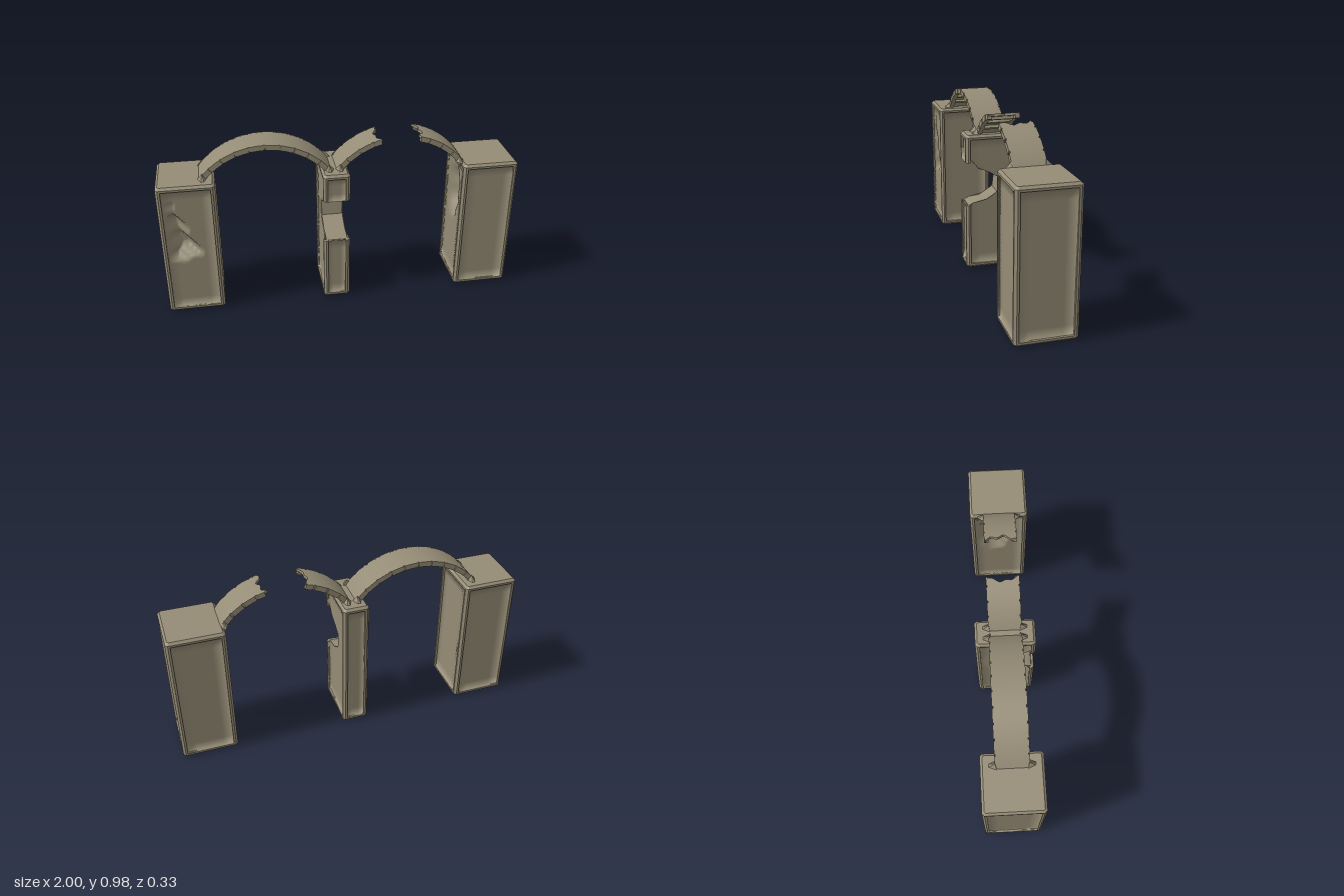
import * as THREE from 'three';
import { ConvexGeometry } from 'three/addons/geometries/ConvexGeometry.js';
import { toCreasedNormals } from 'three/addons/utils/BufferGeometryUtils.js';

const stone = new THREE.MeshStandardMaterial({ color: 0x958c76, side: THREE.DoubleSide });
const H = 0.8, D = 0.33, EDGE = 0.025, BEVEL = 0.013, RECESS = 0.013;
const PH = H - 2 * EDGE;
const { clamp, lerp } = THREE.MathUtils;
const V = (x, y, z) => new THREE.Vector3(x, y, z);

function add(parent, name, geometry) {
  const mesh = new THREE.Mesh(geometry, stone);
  mesh.name = name;
  parent.add(mesh);
  return mesh;
}
const hull = (points) => new ConvexGeometry(points);

// Rectangle with cut corners, as a ring of points at height y
function ring(w, d, y, c) {
  const pts = [];
  for (const sx of [-1, 1]) for (const sz of [-1, 1]) {
    pts.push(V(sx * (w / 2 - c), y, sz * d / 2), V(sx * w / 2, y, sz * (d / 2 - c)));
  }
  return pts;
}

// Recessed panel facing +z; a dent pushes it in, a warp moves its outline
function panelGeometry(w, h, { dent = null, warp = null, nx = 1, ny = 1 } = {}) {
  const stops = (size, n) => {
    const inset = Math.min(0.055, size * 0.3), a = size / 2, out = [-a, -a];
    for (let i = 0; i <= n; i++) out.push(lerp(-a + inset, a - inset, i / n));
    return [...out, a, a];
  };
  const xs = stops(w, nx), ys = stops(h, ny), pos = [], index = [];
  const nX = xs.length, nY = ys.length;
  ys.forEach((y, j) => xs.forEach((x, i) => {
    const px = warp ? warp(x, y) : x;
    const rim = i === 0 || j === 0 || i === nX - 1 || j === nY - 1;
    const cut = Math.abs(px - x) > 1e-4;
    pos.push(px, y, rim && !cut ? 0 : -RECESS - (dent ? dent(x, y) : 0));
    if (i && j) {
      const a = (j - 1) * nX + i - 1, b = a + 1, c = a + nX, d = c + 1;
      index.push(a, b, d, a, d, c);
    }
  }));
  const g = new THREE.BufferGeometry();
  g.setAttribute('position', new THREE.Float32BufferAttribute(pos, 3));
  g.setIndex(index);
  g.computeVertexNormals();
  // Soft shading that turns inward along the border
  const tilt = (k, n) => (k < 2 ? 1 : k > n - 3 ? -1 : 0);
  for (let j = 0; j < nY; j++) for (let i = 0; i < nX; i++) {
    const tx = tilt(i, nX), ty = tilt(j, nY);
    if (!tx && !ty) continue;
    const n = V(tx * 1.3, ty * 1.3, 1).normalize();
    g.attributes.normal.setXYZ(j * nX + i, n.x, n.y, n.z);
  }
  return g;
}

// Bevelled corner post between two heights
function post(parent, w, sx, sz, y0, y1) {
  const pts = [];
  for (const y of [y0, y1]) {
    for (const [a, b] of [[0, BEVEL], [BEVEL, 0], [EDGE, 0], [EDGE, EDGE], [0, EDGE]]) {
      pts.push(V(sx * (w / 2 - a), y, sz * (D / 2 - b)));
    }
  }
  add(parent, 'cornerPost', hull(pts));
}

function pillarFrame(name, x, w, frontPosts) {
  const p = new THREE.Group();
  p.name = name;
  p.position.x = x;
  for (const [part, inner, mid, outer] of [
    ['base', EDGE, BEVEL, 0], ['cap', H - EDGE, H - BEVEL, H]]) {
    add(p, part, hull([...ring(w, D, inner, BEVEL), ...ring(w, D, mid, BEVEL),
      ...ring(w - 2 * BEVEL, D - 2 * BEVEL, outer, BEVEL / 2)]));
  }
  for (const sx of [-1, 1]) {
    post(p, w, sx, -1, EDGE, H - EDGE);
    for (const [a, b] of frontPosts) post(p, w, sx, 1, a, b);
  }
  return p;
}

// Panels go on front, right (+x), back and left (-x) in turn
function addPanel(p, w, side, options = {}, y0 = EDGE, y1 = H - EDGE) {
  const across = side % 2 ? D : w, out = side % 2 ? w : D, a = side * Math.PI / 2;
  const m = add(p, 'recessedPanel', panelGeometry(across - 2 * EDGE, y1 - y0, options));
  m.rotation.y = a;
  m.position.set(Math.sin(a) * out / 2, (y0 + y1) / 2, Math.cos(a) * out / 2);
}

// Broken edge of the middle pillar, as [z, y]
const BITE = [[0.152, 0.385], [0.12, 0.40], [0.06, 0.405], [-0.02, 0.455],
  [-0.03, 0.54], [0.04, 0.585], [0.09, 0.60], [0.125, 0.645], [0.152, 0.67]];
function biteDepth(y) {
  for (let i = 1; i < BITE.length; i++) {
    const [z0, y0] = BITE[i - 1], [z1, y1] = BITE[i];
    if (y >= y0 && y <= y1) return lerp(z0, z1, (y - y0) / (y1 - y0));
  }
  return 1;
}

function brokenPillar() {
  const w = 0.15, p = pillarFrame('brokenMiddlePillar', -0.03, w, [[EDGE, 0.385], [0.64, H - EDGE]]);
  const shape = new THREE.Shape();
  const zb = D / 2 - RECESS - 0.002;
  shape.moveTo(-zb, 0.01);
  shape.lineTo(zb, 0.01);
  BITE.forEach(([z, y]) => shape.lineTo(Math.min(z, zb), y));
  shape.lineTo(zb, H - 0.01);
  shape.lineTo(-zb, H - 0.01);
  const thick = w - 2 * RECESS - 0.004;
  const core = new THREE.ExtrudeGeometry(shape, { depth: thick, bevelEnabled: false });
  core.translate(0, 0, -thick / 2).rotateY(-Math.PI / 2);
  // Extrusion's x now runs along z
  add(p, 'brokenCore', toCreasedNormals(core, 0.5));
  const a = D / 2 - EDGE;
  for (const [side, s] of [[1, -1], [3, 1]]) {
    const warp = (x, y) => {
      const limit = Math.min(a, biteDepth(y + H / 2));
      return s * (-a + (s * x + a) * (limit + a) / (2 * a));
    };
    addPanel(p, w, side, { warp, ny: 40 });
  }
  addPanel(p, w, 2);
  addPanel(p, w, 0, {}, EDGE, 0.385);
  addPanel(p, w, 0, {}, 0.64, H - EDGE);
  return p;
}

// Jagged triangular crack
function crack(x, y) {
  const t = [[-0.105, 0.35], [-0.115, -0.06], [0.07, -0.05]];
  let d = 1;
  t.forEach(([ax, ay], i) => {
    const [bx, by] = t[(i + 1) % 3], l = Math.hypot(bx - ax, by - ay);
    d = Math.min(d, ((bx - ax) * (y - ay) - (by - ay) * (x - ax)) / l);
  });
  return clamp(1.4 * (d + 0.012 * Math.sin(y * 55 + x * 30)), 0, 0.08);
}
// Rounded hollow
const hollow = (x, y) => 0.08 * clamp(1.3 - 1.3 * Math.hypot((x + 0.03) / 0.1, (y - 0.17) / 0.2)
  + 0.08 * Math.sin(y * 50 + x * 40), 0, 1);

function outerPillar(name, x, dentedSide, dent) {
  const w = 0.315, p = pillarFrame(name, x, w, [[EDGE, H - EDGE]]);
  for (let side = 0; side < 4; side++) {
    addPanel(p, w, side, side === dentedSide ? { dent, nx: 22, ny: 50 } : {});
  }
  return p;
}

const CY = 0.517, R1 = 0.458, R0 = 0.428, STEP = 0.18, END = 0.92;
// Box bent round the arch; its ends may vary with z
function bent(r0, r1, a0, a1, z0, z1) {
  const at = (a, z) => (typeof a === 'function' ? a(z) : a);
  const n = typeof a0 === 'function' || typeof a1 === 'function' || z1 - z0 > 0.1 ? 12 : 1;
  const g = new THREE.BoxGeometry(1, 1, 1, 20, 1, n), p = g.attributes.position;
  for (let i = 0; i < p.count; i++) {
    const z = lerp(z0, z1, p.getZ(i) + 0.5), r = lerp(r0, r1, p.getY(i) + 0.5);
    const a = lerp(at(a0, z), at(a1, z), p.getX(i) + 0.5);
    p.setXYZ(i, r * Math.sin(a), r * Math.cos(a), z);
  }
  return toCreasedNormals(g, 0.5);
}

function arch(name, cx, from, to, raggedFrom = from, raggedTo = to) {
  const g = new THREE.Group();
  g.name = name;
  g.position.set(cx, CY, 0);
  add(g, 'archDeck', bent(R0 + 0.016, R1, raggedFrom, raggedTo, -0.084, 0.084));
  for (const s of [-1, 1]) {
    const span = (a, b) => [Math.min(s * a, s * b), Math.max(s * a, s * b)];
    add(g, 'underRail', bent(R0, R0 + 0.018, from, to, ...span(0.066, 0.084)));
    for (let k = -6; k < 6; k++) {
      const a = Math.max(from, k * STEP + 0.012), b = Math.min(to, (k + 1) * STEP - 0.012);
      if (b - a > 0.01) add(g, 'sideBlock', bent(R0, R1, a, b, ...span(0.083, 0.09)));
    }
  }
  for (let k = -5; k <= 5; k++) {
    const a = k * STEP;
    if (a > from && a < to) add(g, 'crossRib', bent(R0, R0 + 0.018, a - 0.022, a + 0.022, -0.07, 0.07));
  }
  return g;
}

export function createModel() {
  const model = new THREE.Group();
  model.name = 'ruinedArcade';
  model.add(outerPillar('crackedPillar', -0.8425, 0, crack));
  model.add(brokenPillar());
  model.add(outerPillar('hollowedPillar', 0.8425, 3, hollow));

  model.add(arch('wholeArch', -0.41, -END, END));
  const leftEnd = (z) => -0.245 - 0.06 * Math.cos(z * 18) + 0.012 * Math.sin(z * 90);
  const rightEnd = (z) => 0.235 + 0.05 * Math.cos(z * 20) + 0.022 * Math.sin(z * 85);
  model.add(arch('brokenArchStart', 0.34, -END, -0.25, -END, leftEnd));
  model.add(arch('brokenArchEnd', 0.34, 0.25, END, rightEnd, END));

  // Wedge brackets either side of each arch foot
  for (const [x, y] of [[-0.75, 0.8], [-0.06, 0.8], [0, 0.8], [0.68, 0.795]]) {
    for (const s of [-1, 1]) {
      add(model, 'footBracket', hull([V(x - 0.025, y, s * 0.08), V(x + 0.025, y, s * 0.08),
        V(x - 0.008, y, s * 0.12), V(x + 0.008, y, s * 0.12), V(x, y + 0.032, s * 0.088),
        V(x, y - 0.025, s * 0.11), V(x, y - 0.025, s * 0.085)]));
    }
  }
  return model;
}
